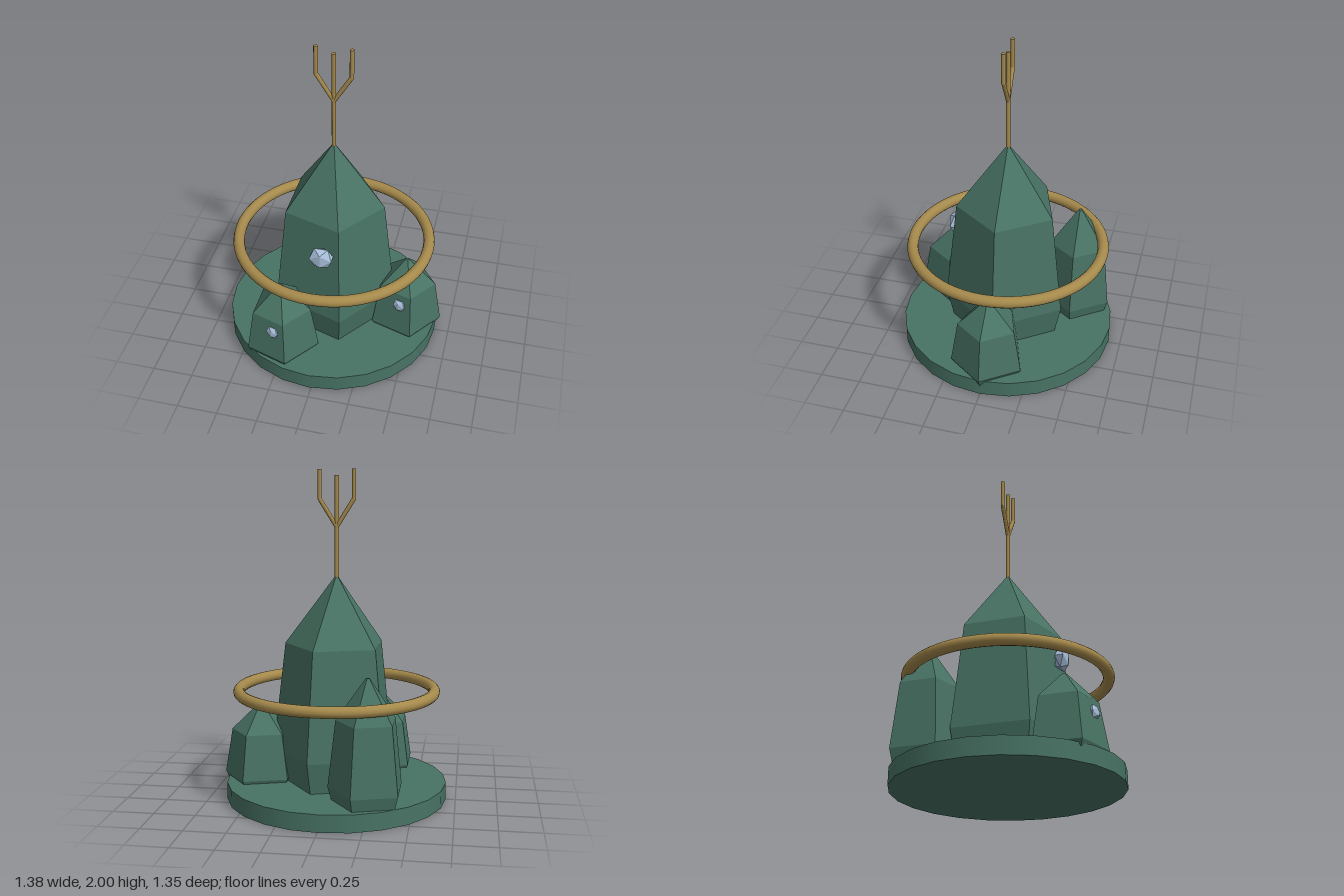
import * as THREE from 'three';

export function createModel() {
  const model = new THREE.Group();
  model.name = 'crystalSpire';

  const stone = new THREE.MeshStandardMaterial({ color: 0x487364, flatShading: true });
  stone.name = 'green stone';
  const stoneSmooth = new THREE.MeshStandardMaterial({ color: 0x487364 });
  stoneSmooth.name = 'green stone base';
  const bronze = new THREE.MeshStandardMaterial({ color: 0xa68a4c });
  bronze.name = 'bronze';
  const ice = new THREE.MeshStandardMaterial({ color: 0xa9c0dc, flatShading: true });
  ice.name = 'pale blue gem';

  const add = (name, geometry, material, x = 0, y = 0, z = 0) => {
    const mesh = new THREE.Mesh(geometry, material);
    mesh.name = name;
    mesh.position.set(x, y, z);
    model.add(mesh);
    return mesh;
  };

  // Five-sided crystal: narrow foot, wide belly, shoulder and tiny flat tip
  const crystal = (name, radius, height, foot, x, z) => {
    const profile = [
      [0, foot], [radius * 0.84, foot], [radius, height * 0.217],
      [radius * 0.8, height * 0.7], [0.012, height], [0, height],
    ].map(([r, y]) => new THREE.Vector2(r, y));
    add(name, new THREE.LatheGeometry(profile, 5, Math.PI / 2), stone, x, 0, z);
  };

  // Flattened faceted gem
  const gem = (name, radius, depth, x, y, z, turn = 0) => {
    const mesh = add(name, new THREE.IcosahedronGeometry(radius, 0), ice, x, y, z);
    mesh.scale.z = depth;
    mesh.rotation.y = turn;
  };

  // Round rod between two points in the x-y plane
  const rod = (name, x0, y0, x1, y1) => {
    const length = Math.hypot(x1 - x0, y1 - y0);
    const mesh = add(name, new THREE.CylinderGeometry(0.013, 0.013, length, 8), bronze,
      (x0 + x1) / 2, (y0 + y1) / 2, 0);
    mesh.rotation.z = -Math.atan2(x1 - x0, y1 - y0);
  };

  // Round base
  add('base', new THREE.CylinderGeometry(0.675, 0.675, 0.105, 24), stoneSmooth, 0, 0.0525, 0);

  // Main spire and three smaller crystals spaced evenly around it
  crystal('mainSpire', 0.395, 1.36, 0, 0, 0);
  [0.57, 0.57, 0.83].forEach((height, i) => {
    const a = (i * Math.PI * 2) / 3;
    const x = 0.472 * Math.cos(a), z = 0.472 * Math.sin(a);
    crystal('sideCrystal', 0.232, height, 0.05, x, z);
    if (i < 2) gem('sideGem', 0.045, 0.5, x - 0.013, 0.32, z + 0.166, -Math.PI / 10);
  });
  gem('mainGem', 0.08, 0.6, 0, 0.765, 0.333);

  // Floating ring
  const ring = add('ring', new THREE.TorusGeometry(0.595, 0.035, 12, 64), bronze, 0, 0.668, 0);
  ring.rotation.x = Math.PI / 2;

  // Three-pronged finial
  rod('finialShaft', 0, 1.34, 0, 1.965);
  for (const side of [-1, 1]) {
    rod('finialFork', 0, 1.66, side * 0.103, 1.825);
    rod('finialProng', side * 0.103, 1.82, side * 0.103, 2);
  }

  // Centre the whole outline on x = 0
  model.children.forEach((part) => { part.position.x -= 0.015; });
  return model;
}
